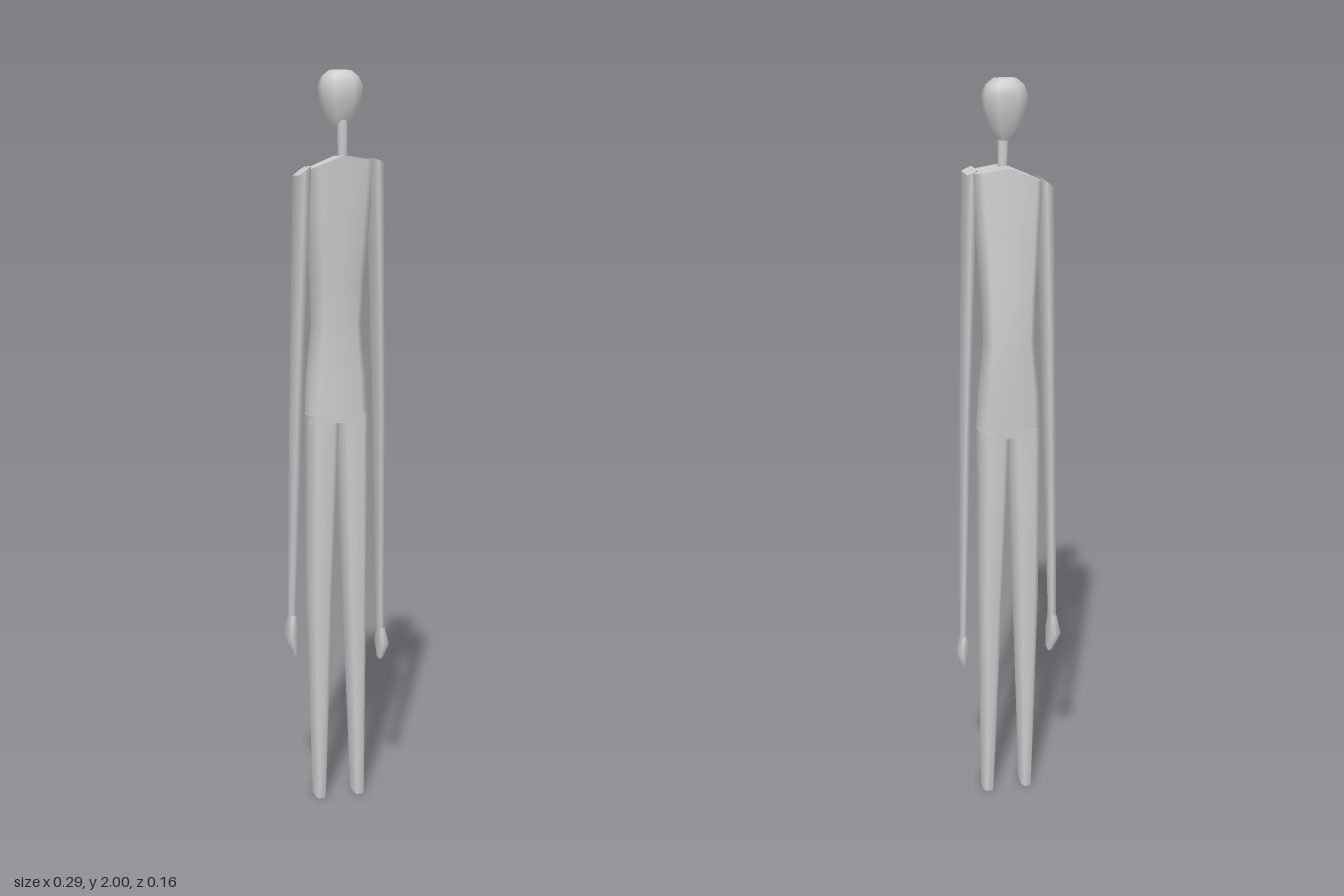
import * as THREE from 'three';

// Outlines seen from above as [x, z], running from the front towards +x.
const half = [[0.75, 0.92], [1, 0.6], [1, -0.65], [0.8, -0.9]];
const bodyRing = [[0, 1], ...half, [0, -1], ...half.map(([x, z]) => [-x, z]).reverse()];
const octagon = [[0.5, 1], [1, 0.5], [1, -0.5], [0.5, -1], [-0.5, -1], [-1, -0.5], [-1, 0.5], [-0.5, 1]];
const legRing = [[0.6, 1], [1, 0.6], [1, -0.6], [0.6, -1], [-0.6, -1], [-1, -0.6], [-1, 0.6], [-0.6, 1]];
const armRing = [[1, 0.85], [1, -0.85], [0.2, -1], [-1, -0.85], [-1, 0.85], [-0.2, 1]];

// Skins a ring through sections listed bottom to top:
// [y, x0, x1, zBack, zFront, tilt towards +x, drop at the sides]
function loft(name, ring, sections) {
  const n = ring.length, pos = [], index = [];
  const place = ([y, x0, x1, z0, z1, tilt = 0, drop = 0], [u, v]) => [
    (x0 + x1) / 2 + u * (x1 - x0) / 2,
    y + tilt * u - drop * Math.abs(u),
    (z0 + z1) / 2 + v * (z1 - z0) / 2,
  ];
  sections.forEach((s) => ring.forEach((p) => pos.push(...place(s, p))));
  for (let i = 0; i < sections.length - 1; i++) {
    for (let j = 0; j < n; j++) {
      const k = (j + 1) % n, a = i * n + j, b = i * n + k;
      index.push(a, b, b + n, a, b + n, a + n);
    }
  }
  // End caps have their own vertices so their edges stay sharp
  [sections[0], sections[sections.length - 1]].forEach((s, end) => {
    const c = pos.length / 3;
    pos.push(...place(s, [0, 0]));
    ring.forEach((p) => pos.push(...place(s, p)));
    for (let j = 0; j < n; j++) {
      const a = c + 1 + j, b = c + 1 + (j + 1) % n;
      index.push(c, ...(end ? [a, b] : [b, a]));
    }
  });
  const geo = new THREE.BufferGeometry();
  geo.setAttribute('position', new THREE.Float32BufferAttribute(pos, 3));
  geo.setIndex(index);
  geo.computeVertexNormals();
  const mesh = new THREE.Mesh(geo, new THREE.MeshStandardMaterial({ color: 0xcccccc }));
  mesh.name = name;
  return mesh;
}

export function createModel() {
  const figure = new THREE.Group();
  figure.name = 'slenderFigure';

  figure.add(
    // Torso, narrow at the waist, with sloping shoulders
    loft('torso', bodyRing, [
      [1.08, -0.083, 0.081, -0.07, 0.02],
      [1.2, -0.077, 0.074, -0.074, 0.018],
      [1.34, -0.062, 0.06, -0.078, 0.02],
      [1.46, -0.068, 0.064, -0.07, 0.032],
      [1.62, -0.08, 0.075, -0.058, 0.046],
      [1.785, -0.09, 0.085, -0.046, 0.057, 0.012, 0.025],
    ]),
    loft('neck', octagon, [
      [1.77, -0.008, 0.014, 0.008, 0.034],
      [1.84, -0.011, 0.014, 0.01, 0.037],
      [1.9, -0.013, 0.014, 0.01, 0.037],
    ]),
    // Head tapering to a narrow chin
    loft('head', octagon, [
      [1.85, -0.017, 0.017, -0.008, 0.022],
      [1.875, -0.033, 0.033, -0.02, 0.038],
      [1.92, -0.05, 0.05, -0.032, 0.051],
      [1.96, -0.055, 0.055, -0.036, 0.053],
      [1.985, -0.045, 0.045, -0.03, 0.043],
      [2.0, -0.028, 0.028, -0.016, 0.028],
    ]),
    // Long tapering legs meeting at the crotch
    loft('leftLeg', legRing, [
      [0, 0.047, 0.077, -0.062, 0],
      [0.6, 0.022, 0.08, -0.064, 0.007],
      [1.1, 0, 0.081, -0.069, 0.018],
    ]),
    loft('rightLeg', legRing, [
      [0, -0.065, -0.036, -0.062, 0],
      [0.6, -0.081, -0.018, -0.064, 0.007],
      [1.1, -0.083, 0, -0.069, 0.018],
    ]),
    // Flat arms, wide at the shoulder and thin at the wrist
    loft('leftArm', armRing, [
      [0.48, 0.119, 0.134, -0.036, -0.006],
      [1.1, 0.101, 0.12, -0.026, 0.036],
      [1.772, 0.073, 0.1, -0.012, 0.078, -0.006],
    ]),
    loft('rightArm', armRing, [
      [0.53, -0.136, -0.119, -0.047, -0.015],
      [1.1, -0.13, -0.106, -0.042, 0.014],
      [1.745, -0.119, -0.087, -0.036, 0.048, 0.012],
    ]),
    // Closed wedge hands
    loft('leftHand', armRing, [
      [0.395, 0.12, 0.13, -0.034, -0.01],
      [0.44, 0.118, 0.146, -0.053, 0.004],
      [0.49, 0.119, 0.134, -0.036, -0.007],
    ]),
    loft('rightHand', armRing, [
      [0.425, -0.126, -0.115, -0.042, -0.012],
      [0.48, -0.148, -0.117, -0.058, 0.004],
      [0.54, -0.136, -0.119, -0.046, -0.015],
    ]),
  );
  return figure;
}
